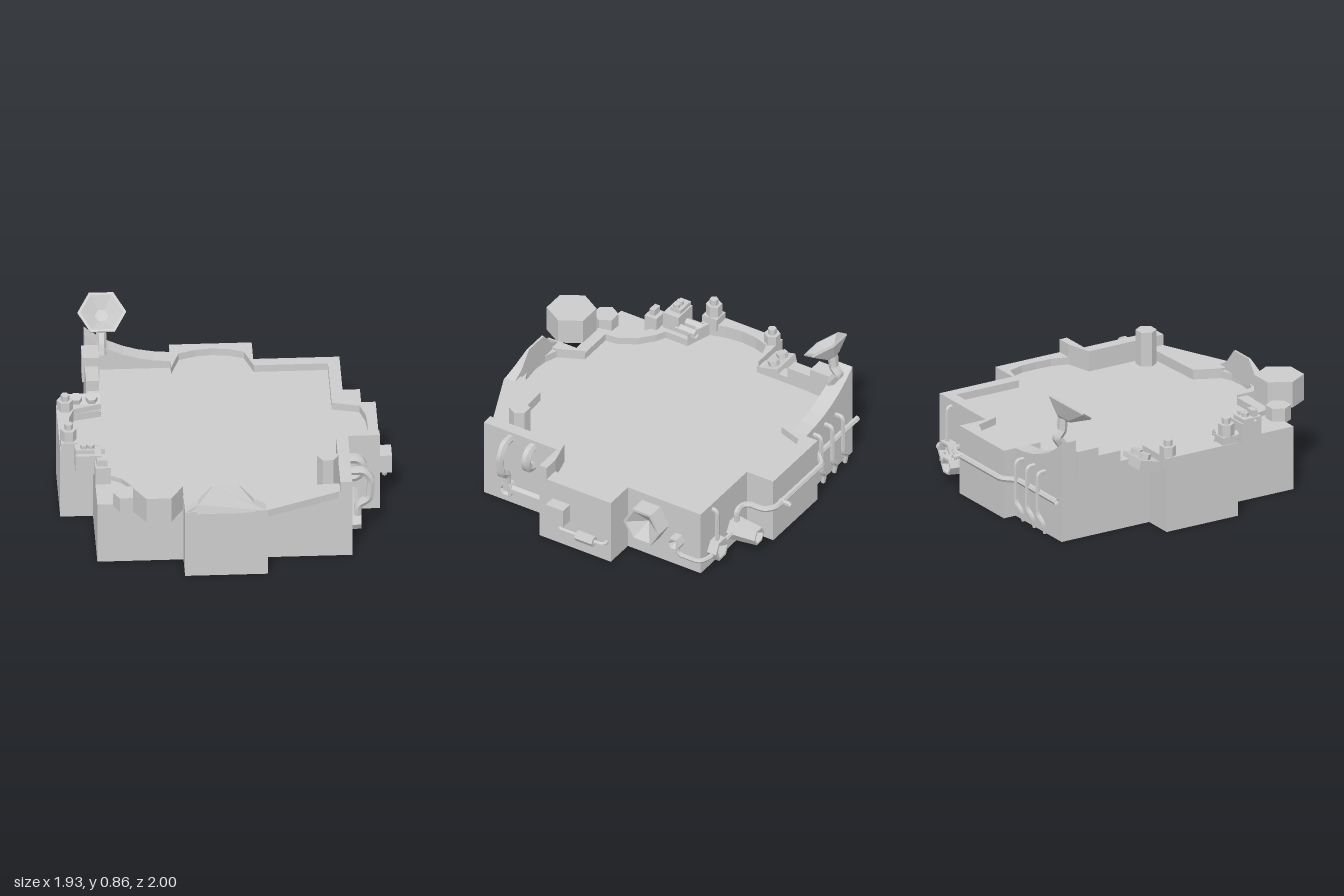
import * as THREE from 'three';

const mat = new THREE.MeshStandardMaterial({ color: 0xcccccc, flatShading: true, side: THREE.DoubleSide });

export function createModel() {
  const root = new THREE.Group();

  const add = (name, geo, x = 0, y = 0, z = 0) => {
    const m = new THREE.Mesh(geo, mat);
    m.name = name;
    m.position.set(x, y, z);
    root.add(m);
    return m;
  };
  // box given by its limits on each axis
  const box = (name, x0, x1, y0, y1, z0, z1) =>
    add(name, new THREE.BoxGeometry(x1 - x0, y1 - y0, z1 - z0), (x0 + x1) / 2, (y0 + y1) / 2, (z0 + z1) / 2);
  // plan outline of [x, z] points raised from y0 to y1
  const plan = (name, pts, y0, y1, hole) => {
    const s = new THREE.Shape(pts.map(([x, z]) => new THREE.Vector2(x, -z)));
    if (hole) s.holes.push(new THREE.Path(hole.map(([x, z]) => new THREE.Vector2(x, -z))));
    const g = new THREE.ExtrudeGeometry(s, { depth: y1 - y0, bevelEnabled: false });
    return add(name, g.rotateX(-Math.PI / 2), 0, y0, 0);
  };
  // upright hexagonal post, points towards +-x
  const hex = (name, x, z, r, y0, y1, rTop = r) =>
    add(name, new THREE.CylinderGeometry(rTop, r, y1 - y0, 6, 1, false, Math.PI / 6), x, (y0 + y1) / 2, z);
  // six-sided hollow, opening along local +y
  const bowl = (name, profile, phi, x, y, z) => {
    const pts = profile.map(([r, h]) => new THREE.Vector2(r, h));
    return add(name, new THREE.LatheGeometry(pts, 6, phi), x, y, z);
  };
  // pipe through points with rounded corners
  const pipe = (name, pts, r, round = 0.03) => {
    const v = pts.map((p) => new THREE.Vector3(...p));
    const path = new THREE.CurvePath();
    let from = v[0];
    for (let i = 1; i < v.length - 1; i++) {
      const cut = (to) => v[i].clone().add(to.clone().sub(v[i]).setLength(Math.min(round, to.distanceTo(v[i]) * 0.45)));
      const a = cut(v[i - 1]), b = cut(v[i + 1]);
      path.add(new THREE.LineCurve3(from, a));
      path.add(new THREE.QuadraticBezierCurve3(a, v[i], b));
      from = b;
    }
    path.add(new THREE.LineCurve3(from, v[v.length - 1]));
    return add(name, new THREE.TubeGeometry(path, v.length * 10, r, 6), 0, 0, 0);
  };

  // cross-shaped hull
  plan('hull', [[-0.78, -0.84], [-0.28, -0.84], [-0.28, -0.92], [0.2, -0.92], [0.2, -0.74], [0.7, -0.74],
    [0.7, -0.24], [0.885, -0.24], [0.885, 0.25], [0.7, 0.25], [0.7, 0.75], [0.2, 0.75], [0.2, 0.93],
    [-0.28, 0.93], [-0.28, 0.75], [-0.78, 0.75], [-0.78, 0.25], [-0.97, 0.25], [-0.97, -0.24], [-0.78, -0.24]], 0, 0.375);

  // raised rim around the deck
  plan('rim', [[-0.78, -0.84], [-0.28, -0.84], [-0.28, -0.92], [0.2, -0.92], [0.2, -0.74], [0.7, -0.74],
    [0.7, -0.24], [0.885, -0.24], [0.885, 0.25], [0.7, 0.25], [0.7, 0.75], [0.2, 0.75], [0.2, 0.93],
    [-0.28, 0.93], [-0.28, 0.75], [-0.53, 0.75], [-0.56, 0.62], [-0.63, 0.52], [-0.72, 0.47], [-0.78, 0.46],
    [-0.78, 0.25], [-0.97, 0.25], [-0.97, -0.24], [-0.78, -0.24]], 0.375, 0.42,
  [[-0.71, -0.74], [-0.28, -0.74], [-0.28, -0.67], [-0.23, -0.82], [-0.13, -0.855], [-0.04, -0.865], [0.06, -0.855],
    [0.15, -0.82], [0.2, -0.67], [0.63, -0.67], [0.63, -0.24], [0.79, -0.2], [0.82, -0.1], [0.825, 0], [0.82, 0.1],
    [0.79, 0.2], [0.63, 0.24], [0.63, 0.66], [0.2, 0.68], [0.13, 0.83], [0.06, 0.86], [-0.04, 0.87], [-0.13, 0.86],
    [-0.21, 0.83], [-0.28, 0.68], [-0.5, 0.68], [-0.51, 0.6], [-0.57, 0.5], [-0.65, 0.43], [-0.71, 0.4],
    [-0.71, 0.25], [-0.87, 0.2], [-0.9, 0.1], [-0.91, 0], [-0.9, -0.1], [-0.87, -0.19], [-0.71, -0.23]]);
  plan('frontCornerDeck', [[-0.78, 0.46], [-0.72, 0.47], [-0.63, 0.52], [-0.56, 0.62], [-0.53, 0.75], [-0.78, 0.75]], 0.37, 0.39);

  // higher rim portions
  box('sideWall', 0.63, 0.7, 0.37, 0.5, 0.25, 0.75);
  plan('bayFrontWall', [[0.63, 0.24], [0.79, 0.2], [0.885, 0.2], [0.885, 0.25], [0.63, 0.25]], 0.37, 0.5);
  plan('bayRim', [[-0.97, -0.24], [-0.71, -0.24], [-0.87, -0.19], [-0.9, -0.1], [-0.91, 0], [-0.9, 0.1], [-0.87, 0.2],
    [-0.71, 0.25], [-0.97, 0.25]], 0.41, 0.455);
  plan('slantedLedge', [[0.2, 0.68], [0.63, 0.66], [0.63, 0.745], [0.2, 0.93]], 0.39, 0.435);

  // hump over the front bay, its top drawn inwards
  const humpShape = new THREE.Shape([[-0.28, 0.4], [0.2, 0.4], [0.2, 0.43], [0.12, 0.475], [0.04, 0.57], [-0.12, 0.57],
    [-0.2, 0.475], [-0.28, 0.43]].map((p) => new THREE.Vector2(...p)));
  const humpGeo = new THREE.ExtrudeGeometry(humpShape, { depth: 0.07, bevelEnabled: false }).translate(0, 0, 0.86);
  const hp = humpGeo.attributes.position;
  for (let i = 0; i < hp.count; i++) {
    if (hp.getZ(i) > 0.9) hp.setZ(i, 0.93 - Math.max(0, hp.getY(i) - 0.435) * 0.42);
  }
  add('frontHump', humpGeo);
  for (const [a, b] of [[-0.28, -0.21], [0.2, 0.13]]) {
    plan('humpShoulder', [[a, 0.68], [a, 0.93], [b, 0.93], [b, 0.83]], 0.4, 0.435);
  }

  // swooping back wall
  const swoop = new THREE.Shape();
  swoop.moveTo(-0.78, 0.37);
  swoop.lineTo(-0.28, 0.37);
  swoop.lineTo(-0.28, 0.42);
  swoop.quadraticCurveTo(-0.58, 0.43, -0.78, 0.61);
  add('swoopWall', new THREE.ExtrudeGeometry(swoop, { depth: 0.1, bevelEnabled: false, curveSegments: 6 }), 0, 0, -0.84);
  box('tallStep', -0.8, -0.7, 0.38, 0.545, -0.74, -0.6);
  box('lowStep', -0.785, -0.71, 0.38, 0.487, -0.6, -0.44);

  // dish and its bent arm
  const dish = bowl('dish', [[0, -0.1], [0.05, -0.08], [0.142, -0.01], [0.142, 0], [0.125, 0], [0.04, -0.055], [0, -0.06]],
    Math.PI / 6, -0.68, 0.785, -0.715);
  dish.rotation.x = 0.617;
  pipe('dishArm', [[-0.68, 0.48, -0.74], [-0.68, 0.54, -0.76], [-0.68, 0.61, -0.81], [-0.68, 0.65, -0.775], [-0.68, 0.73, -0.77]], 0.03, 0.01);

  // posts and blocks on the rim
  hex('cornerPost', 0.565, 0.59, 0.062, 0.37, 0.585);
  hex('overhangTank', -0.435, 0.87, 0.145, 0.415, 0.575);
  hex('smallTank', -0.615, 0.75, 0.075, 0.38, 0.47);
  for (const [z, y] of [[0.2, 0.49], [-0.2, 0.435]]) {
    hex('bollard', -0.92, z, 0.048, y - 0.04, y + 0.08);
    hex('bollardCap', -0.92, z, 0.026, y + 0.08, y + 0.115);
  }
  box('bollardBase', -0.965, -0.87, 0.42, 0.5, 0.15, 0.25);
  const consoleTop = box('console', -0.9, -0.71, 0.37, 0.43, -0.38, -0.23);
  consoleTop.rotation.x = 0.25;
  for (const x of [-0.85, -0.76]) {
    const knob = hex('consoleKnob', x, -0.315, 0.035, 0.42, 0.465);
    knob.rotation.x = 0.25;
  }
  box('junctionBlock', -0.89, -0.74, 0.4, 0.525, 0.33, 0.435);
  box('junctionStep', -0.89, -0.78, 0.52, 0.55, 0.34, 0.41);
  for (const x of [-0.84, -0.8]) hex('junctionKnob', x, 0.38, 0.022, 0.54, 0.572);
  for (const x of [-0.83, -0.76]) pipe('junctionPipe', [[x, 0.44, 0.22], [x, 0.44, 0.35]], 0.03);
  box('curveBlock', -0.78, -0.69, 0.38, 0.5, 0.45, 0.53);
  box('curveBlockTop', -0.77, -0.71, 0.5, 0.54, 0.475, 0.51);

  // pipework on the front part of the +x wall
  pipe('longLoop', [[0.68, 0.46, 0.565], [0.78, 0.46, 0.565], [0.82, 0.4, 0.565], [0.81, 0.27, 0.565], [0.74, 0.23, 0.565], [0.74, 0.12, 0.565]], 0.025);
  pipe('shortLoop', [[0.68, 0.455, 0.415], [0.76, 0.445, 0.415], [0.78, 0.39, 0.415], [0.75, 0.33, 0.415], [0.68, 0.32, 0.415]], 0.03);
  pipe('floorPipe', [[0.73, 0.125, 0.56], [0.73, 0.125, 0.24]], 0.028);
  const valve = bowl('valve', [[0.05, 0], [0.05, 0.07], [0.035, 0.07], [0, 0.03]], 0, 0.69, 0.12, 0.565);
  valve.rotation.z = -Math.PI / 2;

  // box and pipe on the +x bay
  box('meterBox', 0.88, 0.96, 0.185, 0.3, 0.04, 0.16);
  pipe('meterPipe', [[0.92, 0.2, 0.1], [0.92, 0.13, 0.1], [0.92, 0.13, -0.21], [0.87, 0.13, -0.21]], 0.015);
  const sleeve = hex('meterSleeve', 0.92, -0.09, 0.032, 0.07, 0.19);
  sleeve.rotation.x = Math.PI / 2;

  // open funnel and small port on the rear part of the +x wall
  const funnel = bowl('funnel', [[0.125, 0], [0.125, 0.11], [0.108, 0.11], [0, 0.03]], 0, 0.695, 0.26, -0.4);
  funnel.rotation.z = -Math.PI / 2;
  const port = bowl('port', [[0.045, 0], [0.045, 0.07], [0.032, 0.07], [0, 0.03]], 0, 0.695, 0.185, -0.59);
  port.rotation.z = -Math.PI / 2;
  pipe('portPipe', [[0.72, 0.16, -0.59], [0.72, 0.095, -0.6], [0.72, 0.095, -0.74], [0.66, 0.095, -0.77], [0.57, 0.1, -0.77]], 0.014);

  // nozzles and pipes on the back
  const nozzle = bowl('nozzle', [[0.075, 0], [0.055, 0.185], [0.042, 0.185], [0, 0.1]], Math.PI / 6, 0.35, 0.12, -0.735);
  const stub = bowl('stubNozzle', [[0.072, 0], [0.072, 0.065], [0.055, 0.065], [0, 0.02]], Math.PI / 6, 0.56, 0.11, -0.735);
  nozzle.rotation.x = stub.rotation.x = -Math.PI / 2;
  pipe('nozzleLink', [[0.38, 0.12, -0.77], [0.52, 0.12, -0.77]], 0.014);
  pipe('cornerPipe', [[0.57, 0.38, -0.72], [0.57, 0.38, -0.77], [0.57, 0.12, -0.77]], 0.014);
  pipe('backRail', [[-0.78, 0.255, -0.875], [-0.36, 0.255, -0.875], [-0.29, 0.255, -0.945], [0.22, 0.255, -0.945],
    [0.27, 0.255, -0.9], [0.27, 0.255, -0.8], [0.3, 0.255, -0.77], [0.36, 0.255, -0.77], [0.36, 0.15, -0.77]], 0.018);
  pipe('railStub', [[0.145, 0.255, -0.93], [0.145, 0.255, -1]], 0.016);
  for (const x of [-0.6, -0.485, -0.365]) {
    pipe('risingPipe', [[x, 0.38, -0.83], [x, 0.38, -0.89], [x, 0.12, -0.89], [x - 0.05, 0.09, -0.885], [x - 0.05, 0.02, -0.87]], 0.014);
  }
  return root;
}
